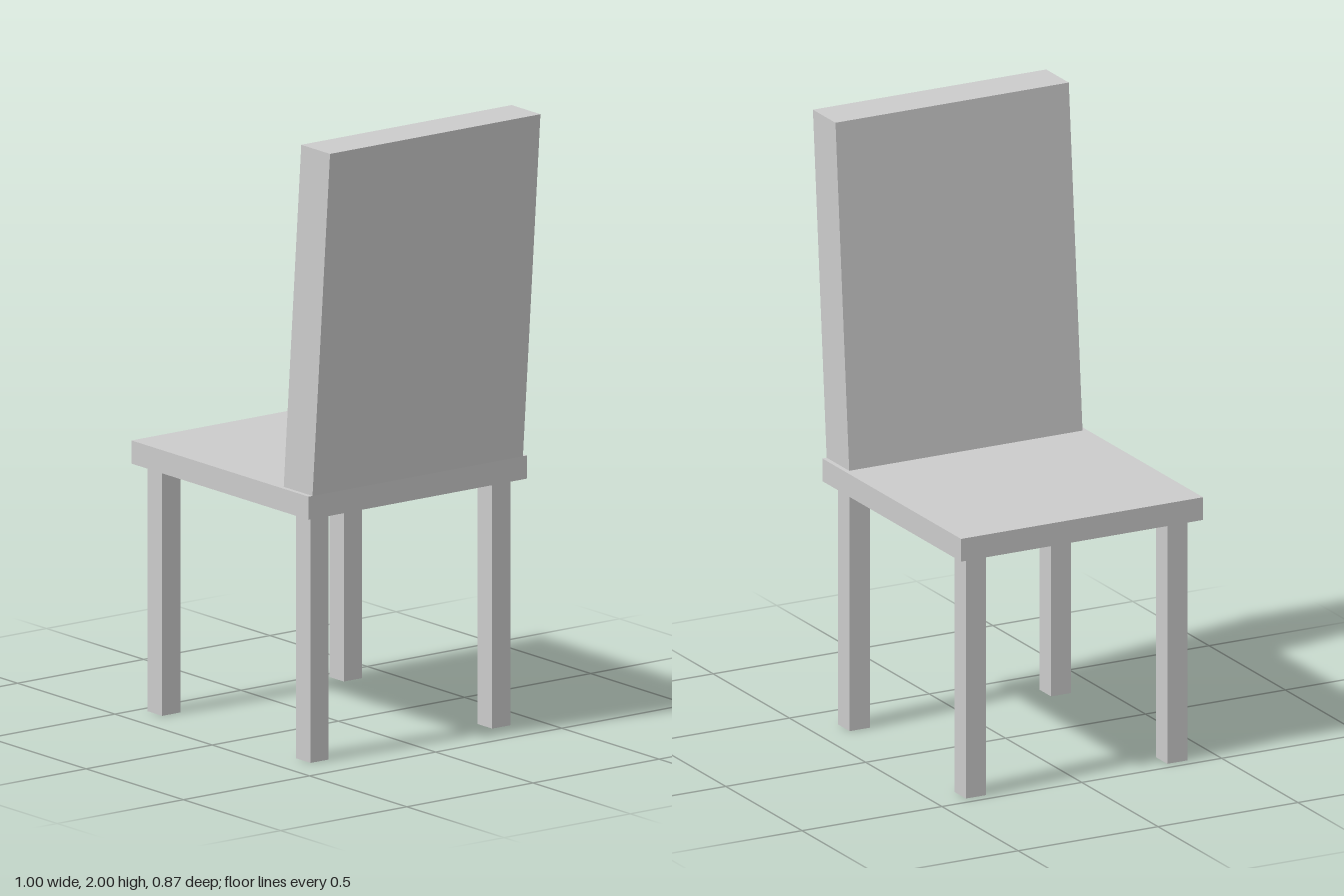
import * as THREE from 'three';

export function createModel() {
  const model = new THREE.Group();
  model.name = 'chair';
  const material = new THREE.MeshStandardMaterial({ color: 0xcccccc, flatShading: true });

  const addPart = (name, geometry, x, y, z) => {
    const mesh = new THREE.Mesh(geometry, material);
    mesh.name = name;
    mesh.position.set(x, y, z);
    model.add(mesh);
  };

  // Flat seat slab
  addPart('seat', new THREE.BoxGeometry(0.91, 0.075, 0.865), -0.047, 0.8375, 0);

  // Backrest: a box sheared so that it leans outward with a level top
  const height = 1.125;
  const lean = 0.09;
  const back = new THREE.BoxGeometry(0.148, height, 0.834);
  const shear = new THREE.Matrix4().makeShear(0, 0, lean / height, 0, 0, 0);
  back.applyMatrix4(shear);
  back.computeVertexNormals();
  addPart('backrest', back, 0.379, 0.875 + height / 2, 0);

  // Four square legs
  const leg = new THREE.BoxGeometry(0.075, 0.8, 0.072);
  for (const [end, x] of [['seatEdge', -0.429], ['backrest', 0.333]]) {
    for (const [side, z] of [['Front', 0.36], ['Rear', -0.36]]) {
      addPart(`${end}${side}Leg`, leg, x, 0.4, z);
    }
  }

  return model;
}
